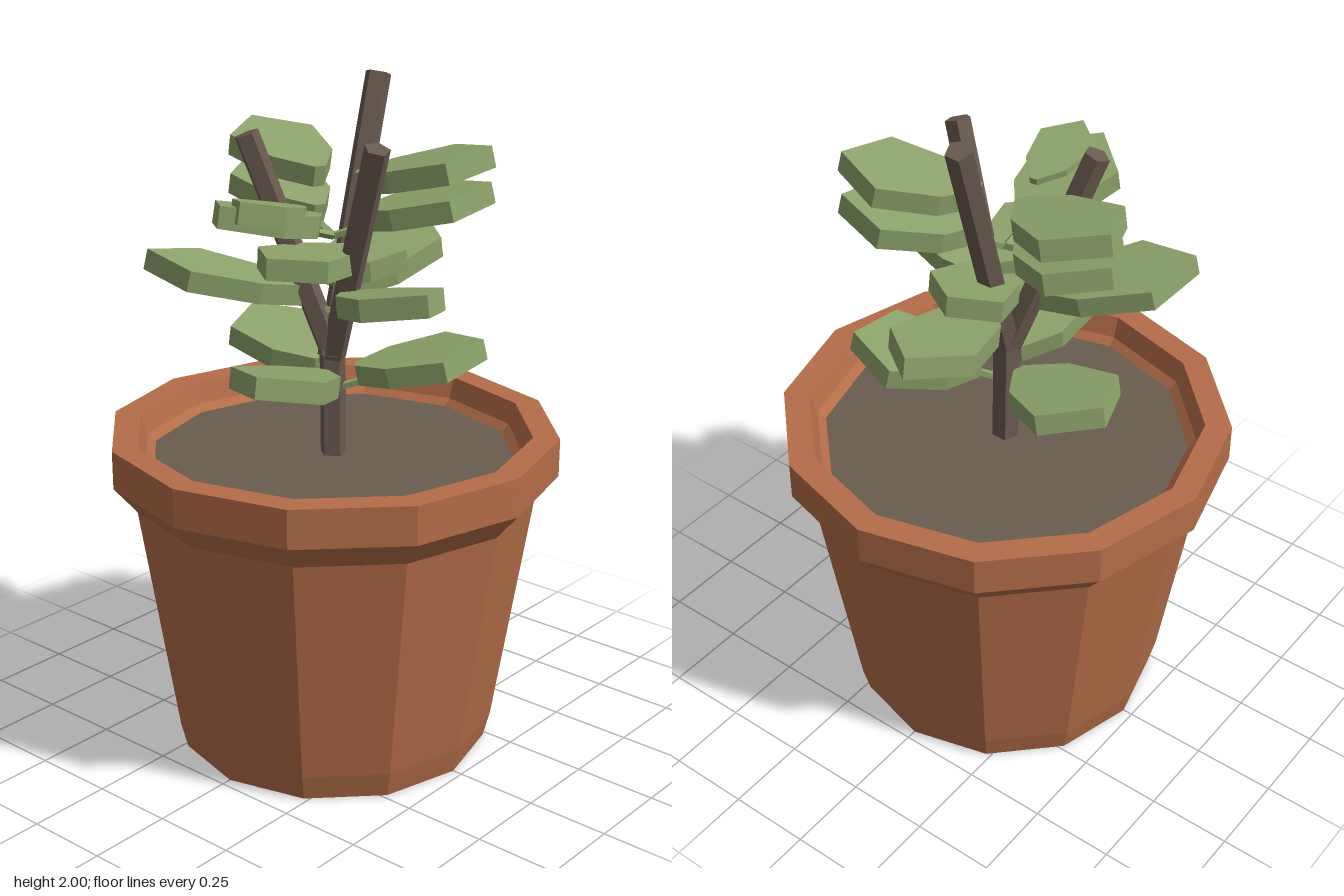
import * as THREE from 'three';

const paint = (name, color) => {
  const m = new THREE.MeshStandardMaterial({ color });
  m.name = name;
  m.flatShading = true;
  return m;
};

export function createModel() {
  const terracotta = paint('terracotta', 0xb46d48);
  const earth = paint('earth', 0x6a5d50);
  const bark = paint('bark', 0x6a5a50);
  const green = paint('leaf green', 0x8da36b);

  const plant = new THREE.Group();
  plant.name = 'pottedPlant';
  const add = (name, geometry, material) => {
    const mesh = new THREE.Mesh(geometry, material);
    mesh.name = name;
    plant.add(mesh);
    return mesh;
  };

  // Twelve-sided pot: closed base, flared wall, thick rim and inner wall
  const profile = [
    [0, 0], [0.47, 0], [0.49, 0.08], [0.6, 0.79], [0.668, 0.87],
    [0.668, 0.985], [0.59, 0.985], [0.57, 0.92], [0.53, 0.88],
  ].map(([r, y]) => new THREE.Vector2(r, y));
  add('pot', new THREE.LatheGeometry(profile, 12).toNonIndexed(), terracotta);

  const soil = new THREE.CircleGeometry(0.545, 12).rotateX(-Math.PI / 2);
  add('soil', soil, earth).position.y = 0.9;

  // Straight stick between two points
  const up = new THREE.Vector3(0, 1, 0);
  const stick = (name, from, to, radius, sides, material) => {
    const a = new THREE.Vector3(...from);
    const d = new THREE.Vector3(...to).sub(a);
    const mesh = add(name, new THREE.CylinderGeometry(radius, radius, d.length(), sides), material);
    mesh.position.copy(a).addScaledVector(d, 0.5);
    mesh.quaternion.setFromUnitVectors(up, d.normalize());
  };

  // Trunk and three branches
  stick('trunk', [0, 0.88, 0], [-0.005, 1.3, 0], 0.04, 5, bark);
  stick('backBranch', [-0.005, 1.2, 0.01], [-0.038, 1.99, -0.245], 0.039, 5, bark);
  stick('rightBranch', [0, 1.2, 0], [-0.195, 1.85, 0.15], 0.038, 5, bark);
  stick('leftBranch', [0, 1.2, 0], [0.225, 1.85, 0.08], 0.038, 5, bark);

  // Thick pointed leaf lying along +x, with its tip at x = 1 before scaling
  const outline = [
    [0.17, -0.03], [0.38, -0.17], [0.75, -0.235], [1, 0],
    [0.75, 0.235], [0.38, 0.17], [0.17, 0.03],
  ].map(([x, y]) => new THREE.Vector2(x, y));
  const leafGeometry = new THREE.ExtrudeGeometry(new THREE.Shape(outline), { depth: 0.062, bevelEnabled: false });
  leafGeometry.rotateX(-Math.PI / 2);

  // Angle is measured from +x towards +z; y is the underside at the stem
  const leaf = (x, y, z, degrees, length, width, tilt = 0.22) => {
    const mesh = add('leaf', leafGeometry, green);
    mesh.position.set(x, y, z);
    mesh.rotation.set(0, -THREE.MathUtils.degToRad(degrees), tilt);
    mesh.scale.set(length, 1, length * width);
  };

  // Whorls of three leaves: height, reach, relative width, angles
  const whorls = [
    [1.1, 0.46, 1.4, [-36, 78, 195]],
    [1.335, 0.56, 1, [-98, 22, 141]],
    [1.56, 0.47, 1.25, [-36, 92, 195]],
  ];
  for (const [y, reach, width, angles] of whorls) {
    for (const angle of angles) {
      leaf(0, y, 0, angle, reach, width);
      const a = THREE.MathUtils.degToRad(angle);
      stick('leafStalk', [0, y, 0],
        [Math.cos(a) * reach * 0.4, y + 0.06, Math.sin(a) * reach * 0.4], 0.012, 4, green);
    }
  }

  // Upper pair and the smaller inner leaves
  leaf(0, 1.67, 0, 197, 0.48, 1.25);
  leaf(0, 1.67, 0, -31, 0.47, 1.25);
  leaf(0.03, 1.61, 0.13, 86, 0.33, 1.2);
  leaf(0.02, 1.46, -0.12, 90, 0.43, 1.3, 0.08);
  leaf(0.01, 1.41, 0.08, -90, 0.34, 1.6, 0.15);

  return plant;
}
